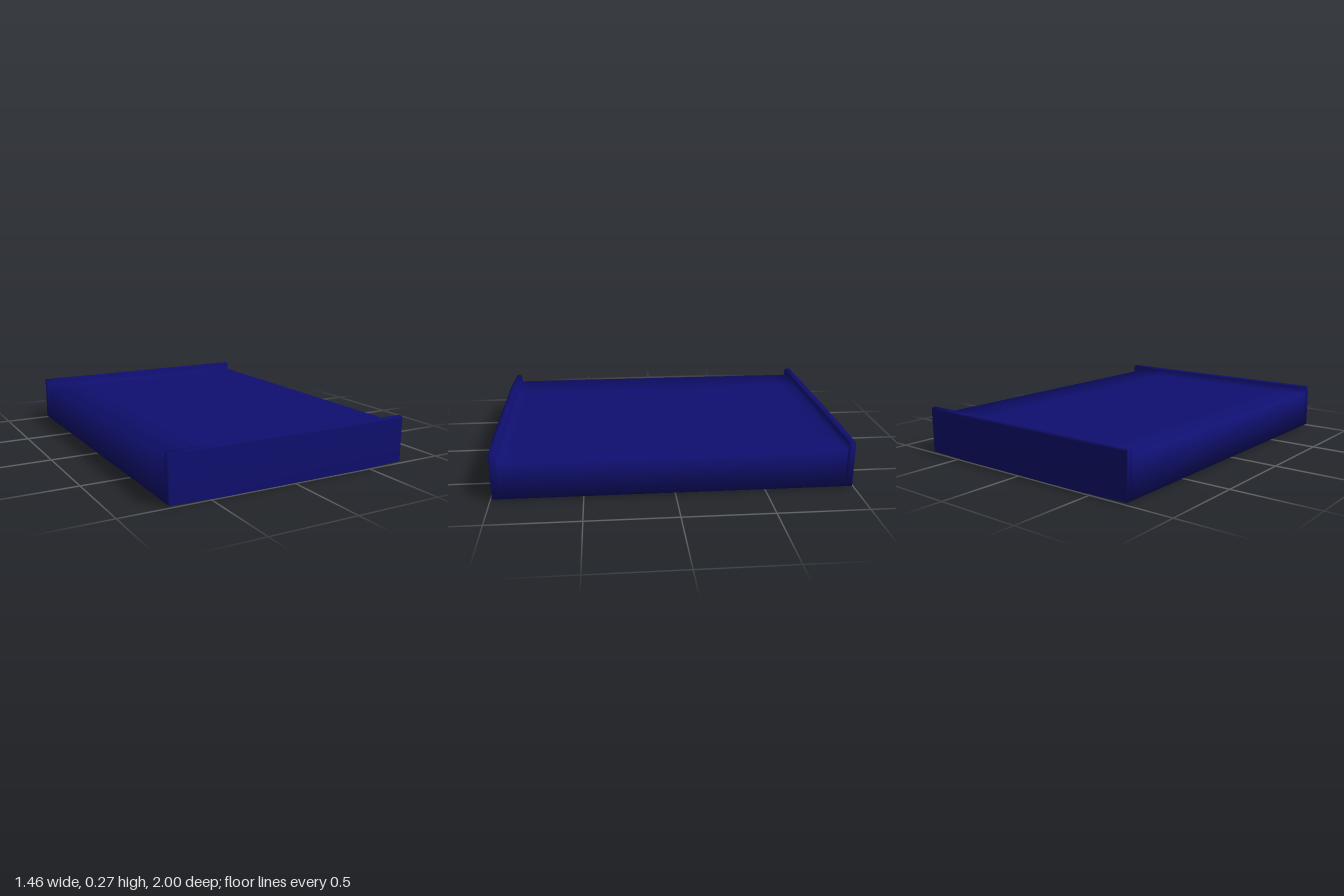
import * as THREE from 'three';
import { mergeVertices } from 'three/addons/utils/BufferGeometryUtils.js';

// Stations across the width and along the length
const XS = [-0.728, -0.45, 0, 0.45, 0.728];
const HALF = [[0, 0.225], [0.85, 0.225], [0.948, 0.225], [0.953, 0.264], [0.962, 0.273], [0.985, 0.273], [0.996, 0.262]];
const ZS = [
  ...HALF.slice(1).reverse().map(([z, y]) => [-z, y]),
  ...HALF,
];

// Slab with a raised lip at each end, in one smooth skin
function traySkin() {
  const nx = XS.length - 1, nz = ZS.length - 1;
  let g = new THREE.BoxGeometry(1, 1, 1, nx, 1, nz);
  const p = g.attributes.position;
  for (let i = 0; i < p.count; i++) {
    const ix = Math.round((p.getX(i) + 0.5) * nx);
    const iz = Math.round((p.getZ(i) + 0.5) * nz);
    const atSide = ix === 0 || ix === nx;
    const atEnd = iz === 0 || iz === nz;
    const [z, top] = ZS[iz];
    // corners are drawn in a little, the underside lifts at its rim
    const zz = atEnd ? Math.sign(z) * (atSide ? 0.99 : 1) : z;
    const bottom = atSide ? 0.008 : atEnd ? 0.004 : 0;
    p.setXYZ(i, XS[ix], p.getY(i) > 0 ? top : bottom, zz);
  }
  g.deleteAttribute('normal');
  g.deleteAttribute('uv');
  g.clearGroups();
  g = mergeVertices(g);
  g.computeVertexNormals();
  return g;
}

export function createModel() {
  const group = new THREE.Group();
  group.name = 'slabWithLips';
  const navy = new THREE.MeshStandardMaterial({ color: 0x0f0f70 });
  navy.name = 'navy';
  const slab = new THREE.Mesh(traySkin(), navy);
  slab.name = 'slab';
  group.add(slab);
  return group;
}
